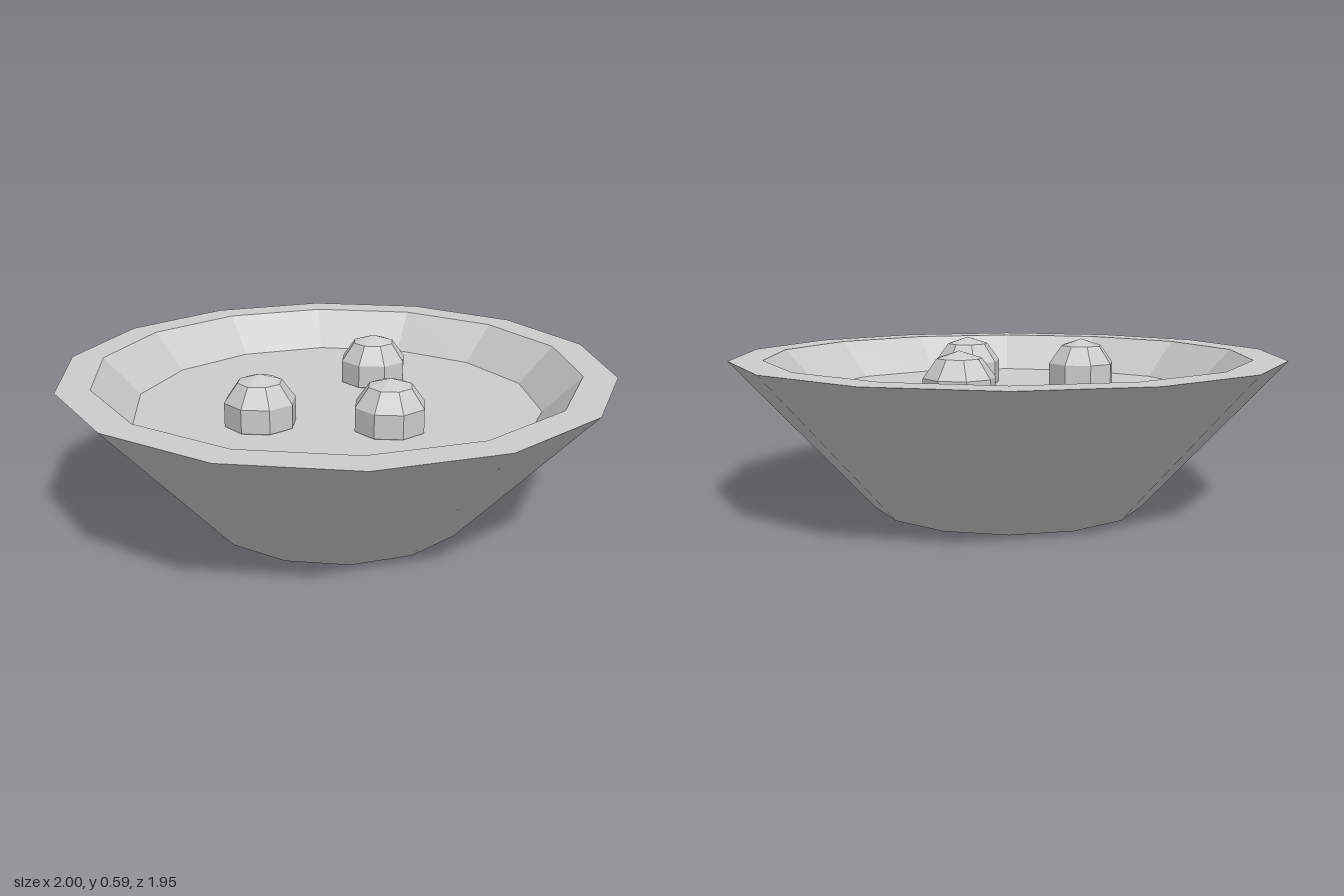
import * as THREE from 'three';

export function createModel() {
  const model = new THREE.Group();
  model.name = 'bowlWithBalls';
  const gray = new THREE.MeshStandardMaterial({ color: 0xcccccc, flatShading: true });
  gray.name = 'light gray';

  // Fourteen-sided bowl: base, flared wall, flat rim, sloped inner wall, floor
  const profile = [[0, 0], [0.5, 0], [1, 0.547], [0.88, 0.547], [0.745, 0.41], [0, 0.41]]
    .map(([r, y]) => new THREE.Vector2(r, y));
  const bowl = new THREE.Mesh(new THREE.LatheGeometry(profile, 14), gray);
  bowl.name = 'bowl';
  bowl.rotation.y = Math.PI / 2; // corners on the x axis
  model.add(bowl);

  // Three faceted balls sunk slightly into the floor
  const ballGeometry = new THREE.SphereGeometry(0.134, 8, 5);
  [[0.225, -0.23], [-0.32, 0.13], [0.09, 0.315]].forEach(([x, z], i) => {
    const ball = new THREE.Mesh(ballGeometry, gray);
    ball.name = `ball${i + 1}`;
    ball.position.set(x, 0.455, z);
    model.add(ball);
  });

  return model;
}
